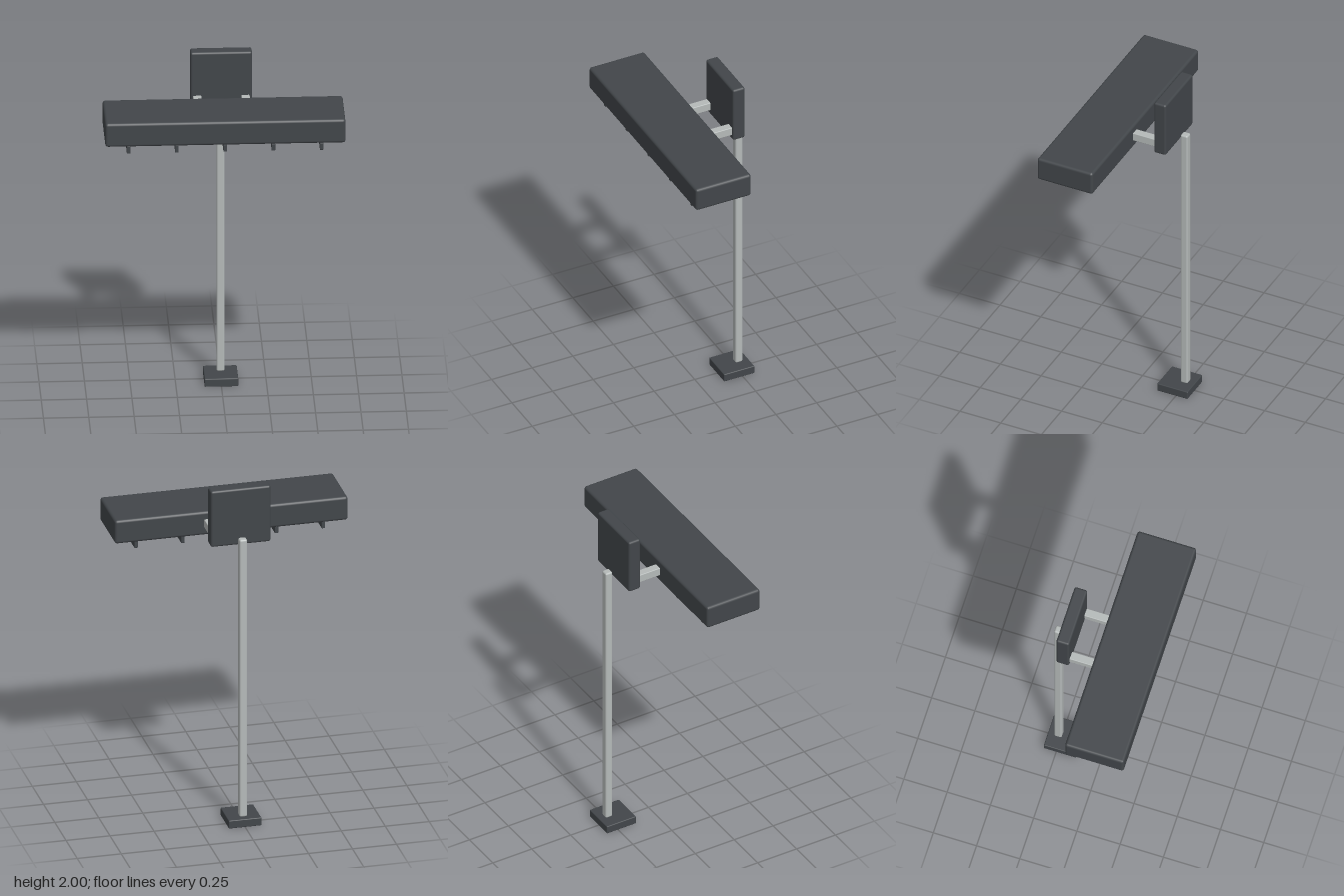
import * as THREE from 'three';
import { RoundedBoxGeometry } from 'three/addons/geometries/RoundedBoxGeometry.js';

export function createModel() {
  const group = new THREE.Group();
  const material = (name, color) => {
    const m = new THREE.MeshStandardMaterial({ color });
    m.name = name;
    return m;
  };
  const dark = material('charcoal', 0x42464a);
  const metal = material('pale metal', 0xb5bab9);
  const glow = material('warm grey', 0xa3a299);

  // Soft-edged box given by its minimum and maximum corners
  const box = (name, mat, [x0, y0, z0], [x1, y1, z1], radius) => {
    const size = [x1 - x0, y1 - y0, z1 - z0];
    const geometry = radius
      ? new RoundedBoxGeometry(...size, 2, radius)
      : new THREE.BoxGeometry(...size);
    const mesh = new THREE.Mesh(geometry, mat);
    mesh.name = name;
    mesh.position.set((x0 + x1) / 2, (y0 + y1) / 2, (z0 + z1) / 2);
    group.add(mesh);
  };

  // Foot and post
  box('foot', dark, [-0.093, 0, -0.322], [0.093, 0.048, -0.135], 0.005);
  box('post', metal, [-0.022, 0.045, -0.286], [0.022, 1.717, -0.242], 0.01);

  // Upright mounting plate and the two arms carrying the head
  box('mountingPlate', dark, [-0.17, 1.664, -0.226], [0.17, 2, -0.152], 0.012);
  for (const side of [-1, 1]) {
    const x = side * 0.133;
    box('arm', metal, [x - 0.023, 1.694, -0.16], [x + 0.023, 1.743, -0.01], 0.004);
  }

  // Head with the panel underneath
  box('head', dark, [-0.662, 1.648, -0.019], [0.662, 1.788, 0.321], 0.015);
  box('panelFrame', metal, [-0.578, 1.636, 0.038], [0.578, 1.652, 0.272]);
  box('panel', glow, [-0.565, 1.632, 0.05], [0.565, 1.638, 0.26]);

  // Guard slats across the panel
  for (let i = -2; i <= 2; i++) {
    const x = i * 0.266;
    box('guardSlat', dark, [x - 0.01, 1.595, 0.021], [x + 0.01, 1.637, 0.288], 0.003);
  }
  return group;
}
